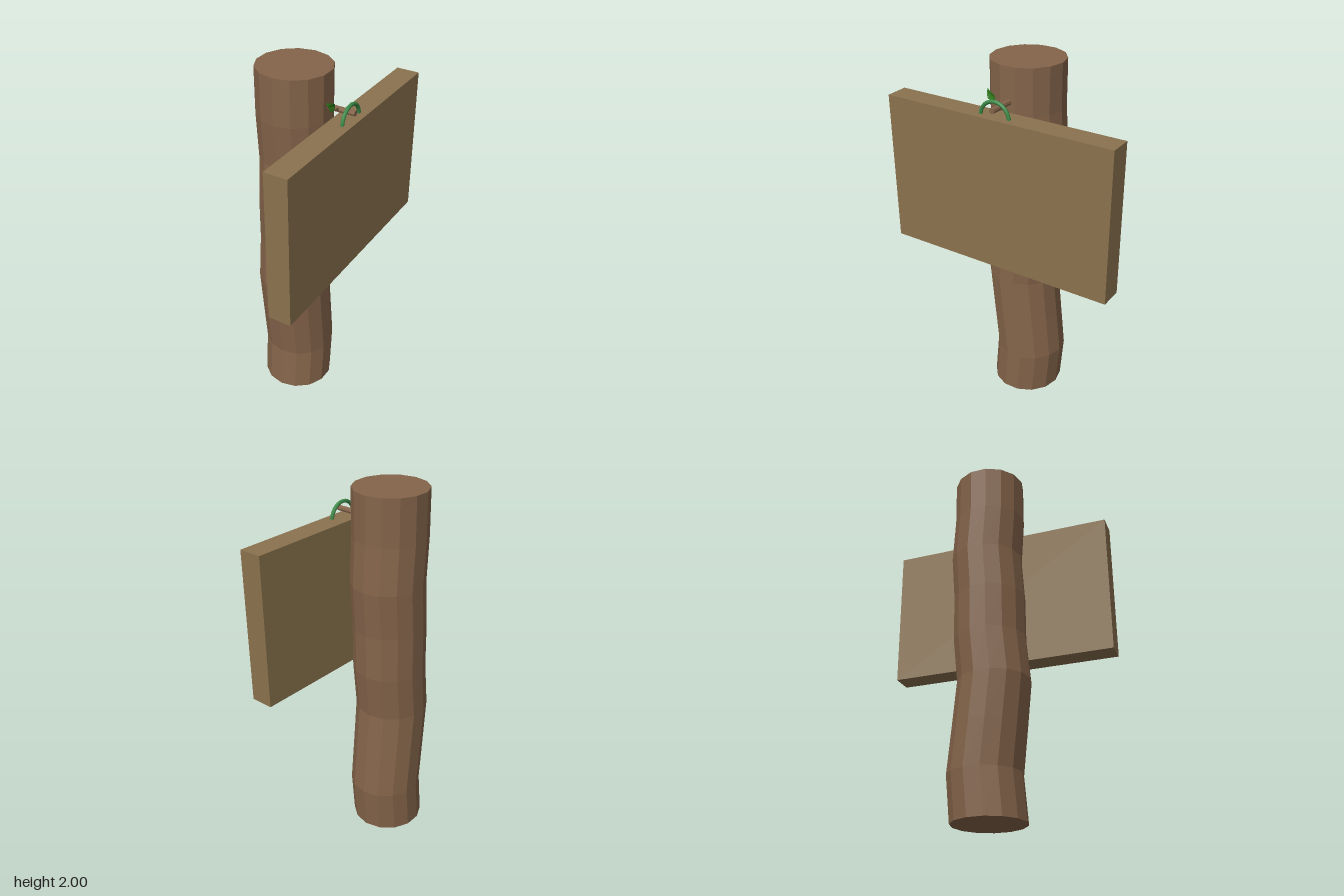
import * as THREE from 'three';

const material = (color, extra = {}) =>
  new THREE.MeshStandardMaterial({ color, flatShading: true, ...extra });

const bark = material(0x84644a);
const plank = material(0x8a724e);
const vineGreen = material(0x3c8a48, { flatShading: false });
const leafGreen = material(0x2f7518, { side: THREE.DoubleSide });

function addPart(group, name, geometry, mat, x = 0, y = 0, z = 0) {
  const mesh = new THREE.Mesh(geometry, mat);
  mesh.name = name;
  mesh.position.set(x, y, z);
  group.add(mesh);
  return mesh;
}

// Tapered rod between two points
function addRod(group, name, from, to, r0, r1, sides) {
  const dir = to.clone().sub(from);
  const rod = addPart(group, name, new THREE.CylinderGeometry(r1, r0, dir.length(), sides), bark);
  rod.position.copy(from).addScaledVector(dir, 0.5);
  rod.quaternion.setFromUnitVectors(new THREE.Vector3(0, 1, 0), dir.normalize());
}

// Fourteen-sided post whose rings wander forward and back
function trunkGeometry() {
  const sway = [0.021, -0.001, 0.025, 0.05, 0.026, 0.025, 0.008, 0.025, 0.025];
  const geometry = new THREE.CylinderGeometry(0.198, 0.198, 2, 14, sway.length - 1);
  const p = geometry.attributes.position;
  for (let i = 0; i < p.count; i++) {
    const ring = Math.round((p.getY(i) + 1) * 4);
    p.setZ(i, p.getZ(i) + sway[ring]);
  }
  geometry.computeVertexNormals();
  return geometry;
}

// Pointed leaf drawn in the z-y plane, curling sideways toward its tip
function leafGeometry() {
  const shape = new THREE.Shape();
  shape.moveTo(0, 0);
  shape.quadraticCurveTo(0.004, 0.022, 0.006, 0.03);
  shape.quadraticCurveTo(0.03, 0.042, 0.06, 0.05);
  shape.quadraticCurveTo(0.056, 0.02, 0.046, 0.002);
  shape.quadraticCurveTo(0.02, -0.004, 0, 0);
  const geometry = new THREE.ShapeGeometry(shape, 4);
  const p = geometry.attributes.position;
  for (let i = 0; i < p.count; i++) {
    const z = p.getX(i), y = p.getY(i);
    const t = (z + y) / 0.11;
    p.setXYZ(i, 0.006 * Math.sin(t * Math.PI) - 0.016 * t * t, y, z);
  }
  geometry.computeVertexNormals();
  return geometry;
}

export function createModel() {
  const model = new THREE.Group();
  model.name = 'hangingSignPost';

  addPart(model, 'trunk', trunkGeometry(), bark, -0.085, 1, 0);
  addPart(model, 'signBoard', new THREE.BoxGeometry(0.127, 0.826, 1.304), plank, 0.212, 1.371, 0);

  // Branch with a side twig
  const v = (x, y, z) => new THREE.Vector3(x, y, z);
  addRod(model, 'branch', v(0.08, 1.82, 0.018), v(0.256, 1.82, 0.018), 0.016, 0.015, 8);
  addRod(model, 'twig', v(0.163, 1.822, 0.022), v(0.163, 1.838, 0.062), 0.009, 0.006, 6);
  addPart(model, 'leaf', leafGeometry(), leafGreen, 0.163, 1.836, 0.056);

  // Vine loop tying the board to the branch
  const vine = addPart(model, 'vineLoop',
    new THREE.TorusGeometry(0.083, 0.01, 8, 24, Math.PI), vineGreen, 0.23, 1.776, 0.019);
  vine.rotation.y = Math.PI / 2;

  return model;
}
